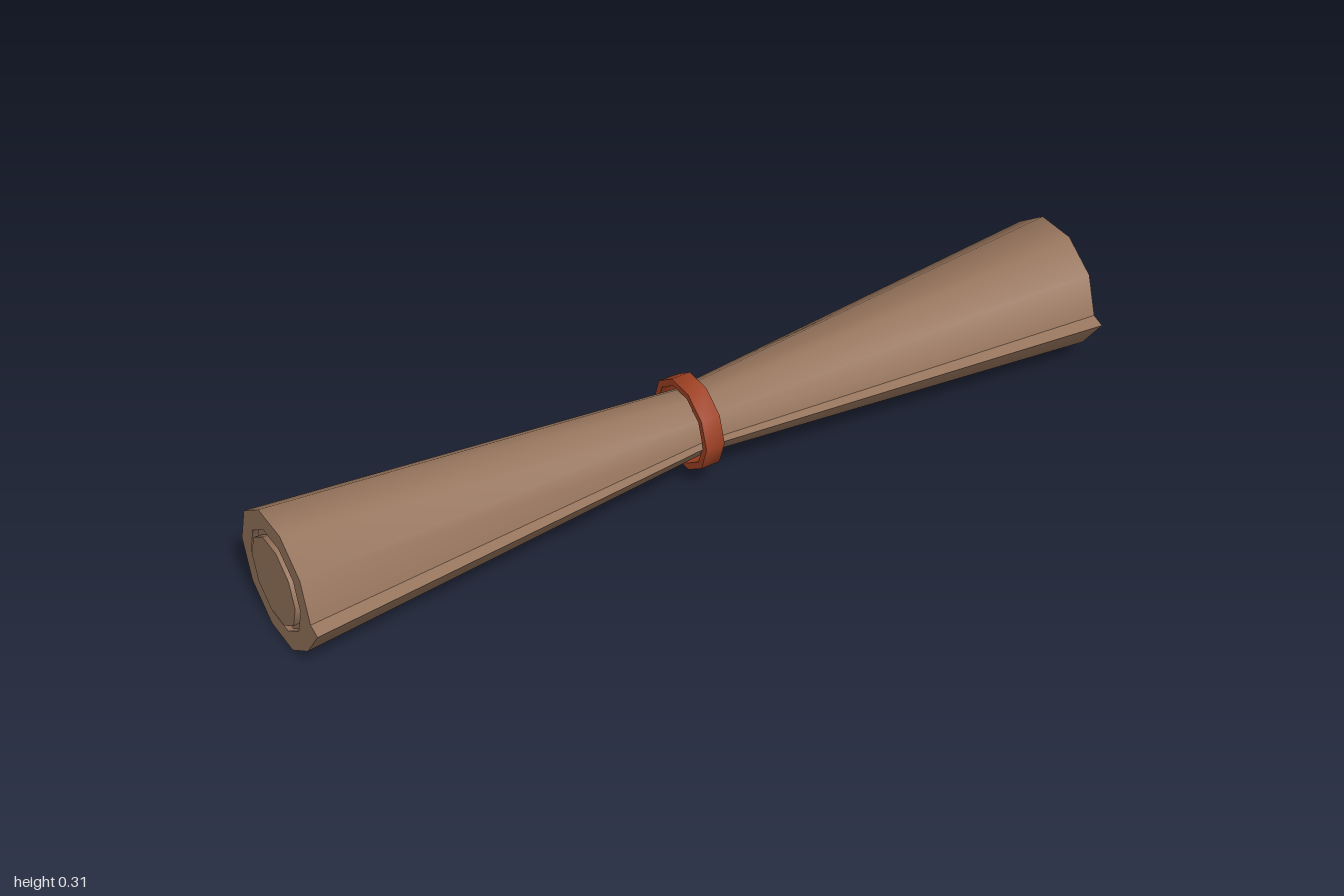
import * as THREE from 'three';
import { toCreasedNormals } from 'three/addons/utils/BufferGeometryUtils.js';

const SIDES = 10;
const X0 = -0.995, X1 = 0.985;

export function createModel() {
  const paper = new THREE.MeshStandardMaterial({ color: 0x96745c });
  paper.name = 'brown paper';
  const ribbon = new THREE.MeshStandardMaterial({ color: 0x9e4123 });
  ribbon.name = 'rust ribbon';

  const model = new THREE.Group();
  model.name = 'scroll';
  model.position.set(0, 0.1545, -0.015);
  model.rotation.z = 0.0015;

  const add = (name, geometry, material) => {
    const mesh = new THREE.Mesh(geometry, material);
    mesh.name = name;
    model.add(mesh);
  };

  // Ten-sided turned part along x, from [radius, x] pairs
  const turned = (name, pairs, material) => {
    const g = new THREE.LatheGeometry(pairs.map(p => new THREE.Vector2(...p)), SIDES);
    g.rotateZ(-Math.PI / 2);
    add(name, toCreasedNormals(g, 0.8), material);
  };

  const decagon = r => Array.from({ length: SIDES }, (_, i) => {
    const a = i * Math.PI * 2 / SIDES;
    return [r * Math.cos(a), r * Math.sin(a)];
  });

  // Outer sheet: [z, y] section with a loose edge at the front
  const section = [...decagon(0.16), [0.19, -0.01]];
  const n = section.length;
  const positions = [], index = [];
  [[X0, 1], [-0.005, 0.49], [X1, 1]].forEach(([x, s], k) => {
    section.forEach(([z, y], i) => {
      positions.push(x, y * s, z * s);
      if (k === 2) return;
      const a = k * n + i, b = k * n + (i + 1) % n;
      index.push(a, a + n, b, b, a + n, b + n);
    });
  });
  const sheet = new THREE.BufferGeometry();
  sheet.setAttribute('position', new THREE.Float32BufferAttribute(positions, 3));
  sheet.setIndex(index);
  add('outerSheet', toCreasedNormals(sheet, 0.8), paper);

  // Flat ends of the outer sheet, open around the inner roll
  for (const side of [-1, 1]) {
    const outline = pts => pts.map(([z, y]) => new THREE.Vector2(-side * z, y));
    const shape = new THREE.Shape(outline(section));
    shape.holes.push(new THREE.Path(outline(decagon(0.115))));
    const end = new THREE.ShapeGeometry(shape);
    end.rotateY(side * Math.PI / 2);
    end.translate(side > 0 ? X1 : X0, 0, 0);
    add(side > 0 ? 'leftEnd' : 'rightEnd', end, paper);
  }

  // Inner layers, each shifted slightly along the roll
  turned('endRecess', [[0.115, -0.98], [0.115, X0]], paper);
  turned('innerSheet', [[0.098, -0.982], [0.115, -0.982], [0.05, -0.005],
    [0.115, 1], [0.101, 1], [0.101, 0.975]], paper);
  turned('core', [[0, -1], [0.101, -1], [0.04, -0.005], [0.101, 0.984], [0, 0.984]], paper);

  // Loose band around the waist
  turned('band', [[0.092, -0.028], [0.108, -0.028], [0.108, 0.018],
    [0.092, 0.018], [0.092, -0.028]], ribbon);

  const root = new THREE.Group();
  root.add(model);
  return root;
}
